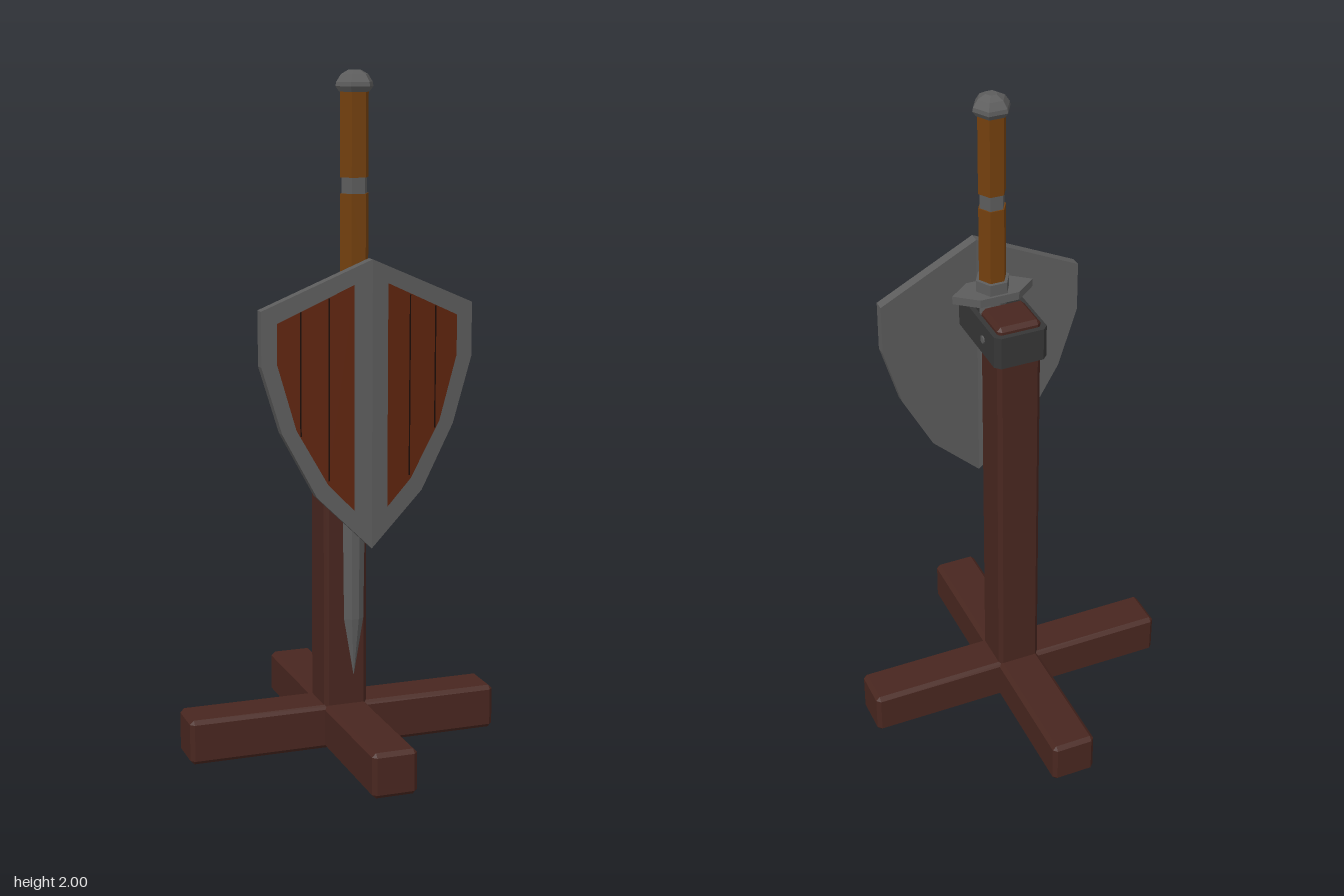
import * as THREE from 'three';
import { ConvexGeometry } from 'three/addons/geometries/ConvexGeometry.js';

const mat = (color) => new THREE.MeshStandardMaterial({ color, flatShading: true });
const darkWood = mat(0x48261f);
const panelWood = mat(0x5e240e);
const gripWood = mat(0x73400e);
const steel = mat(0x5c5c5c);
const iron = mat(0x363636);
const gap = mat(0x1c0c06);

function add(parent, name, geometry, material, x = 0, y = 0, z = 0) {
  const mesh = new THREE.Mesh(geometry, material);
  mesh.name = name;
  mesh.position.set(x, y, z);
  parent.add(mesh);
  return mesh;
}

// Box with every edge chamfered by c
function beam(w, h, d, c) {
  const points = [];
  for (const sx of [-1, 1]) for (const sy of [-1, 1]) for (const sz of [-1, 1]) {
    for (const [a, b, e] of [[0, c, c], [c, 0, c], [c, c, 0]]) {
      points.push(new THREE.Vector3(sx * (w / 2 - a), sy * (h / 2 - b), sz * (d / 2 - e)));
    }
  }
  return new ConvexGeometry(points);
}

const toPoints = (list, side = 1) => list.map(([x, y]) => new THREE.Vector2(x * side, y));

// Six-sided turned part with corners on the x axis
function hexLathe(profile) {
  return new THREE.LatheGeometry(toPoints(profile), 6, Math.PI / 6).rotateY(0);
}

function buildStand() {
  const stand = new THREE.Group();
  stand.name = 'stand';
  add(stand, 'crossBeam', beam(0.96, 0.135, 0.135, 0.012), darkWood, 0, 0.0675, 0);
  add(stand, 'lengthBeam', beam(0.135, 0.134, 0.96, 0.012), darkWood, 0, 0.0675, 0);
  add(stand, 'post', beam(0.133, 1.37, 0.133, 0.012), darkWood, 0, 0.695, 0);

  // Iron strap looped around the post and the sword
  const loop = (w, z0, z1, c) => toPoints([
    [-w + c, z0], [w - c, z0], [w, z0 + c], [w, z1 - c],
    [w - c, z1], [-w + c, z1], [-w, z1 - c], [-w, z0 + c]]);
  const shape = new THREE.Shape(loop(0.081, -0.083, 0.205, 0.016));
  shape.holes.push(new THREE.Path(loop(0.066, -0.066, 0.188, 0.008)));
  const strap = new THREE.ExtrudeGeometry(shape, { depth: 0.1, bevelEnabled: false });
  strap.rotateX(Math.PI / 2);
  add(stand, 'strap', strap, iron, 0, 1.36, 0);
  for (const side of [-1, 1]) {
    const bolt = new THREE.CylinderGeometry(0.012, 0.012, 0.006, 8).rotateZ(Math.PI / 2);
    add(stand, 'bolt', bolt, steel, side * 0.082, 1.31, 0.01);
  }
  return stand;
}

// Blade made of flattened hexagonal sections running down to a point
function bladeGeometry() {
  const sections = [[1.38, 0.042, 0.022], [0.42, 0.03, 0.015], [0.25, 0.001, 0.001]];
  const halves = sections.slice(1).map((low, i) => [sections[i], low]);
  const positions = [];
  const ring = ([y, w, t]) => [[w, 0], [w * 0.35, t], [-w * 0.35, t], [-w, 0], [-w * 0.35, -t], [w * 0.35, -t]]
    .map(([x, z]) => [x, y, z]);
  for (const [high, low] of halves) {
    const a = ring(high), b = ring(low);
    for (let i = 0; i < 6; i++) {
      const j = (i + 1) % 6;
      positions.push(...a[i], ...a[j], ...b[i], ...a[j], ...b[j], ...b[i]);
    }
  }
  const geometry = new THREE.BufferGeometry();
  geometry.setAttribute('position', new THREE.Float32BufferAttribute(positions, 3));
  geometry.computeVertexNormals();
  return geometry;
}

function buildSword() {
  const sword = new THREE.Group();
  sword.name = 'sword';
  sword.position.z = 0.13;
  const blade = add(sword, 'blade', bladeGeometry(), steel.clone());
  blade.material.side = THREE.DoubleSide;

  // Pointed crossguard
  const outline = new THREE.Shape(toPoints([
    [0.125, 0], [0.06, 0.053], [-0.06, 0.053], [-0.125, 0], [-0.06, -0.053], [0.06, -0.053]]));
  const guard = new THREE.ExtrudeGeometry(outline, { depth: 0.025, bevelEnabled: false });
  guard.rotateX(-Math.PI / 2);
  add(sword, 'crossguard', guard, steel, 0, 1.37, 0);

  add(sword, 'collar', hexLathe([[0, 1.39], [0.052, 1.39], [0.052, 1.43], [0, 1.435]]), steel);
  add(sword, 'lowerGrip', hexLathe([[0, 1.43], [0.042, 1.43], [0.042, 1.66], [0, 1.66]]), gripWood);
  add(sword, 'gripRing', hexLathe([[0, 1.65], [0.038, 1.65], [0.038, 1.71], [0, 1.71]]), steel);
  add(sword, 'upperGrip', hexLathe([[0, 1.705], [0.042, 1.705], [0.042, 1.945], [0, 1.945]]), gripWood);
  add(sword, 'pommel', hexLathe([
    [0, 1.94], [0.045, 1.94], [0.056, 1.955], [0.054, 1.967], [0.04, 1.988], [0.018, 2], [0, 2]]), steel);
  return sword;
}

// Half of the shield, swept back from the centre ridge
function buildShieldHalf(side) {
  const half = new THREE.Group();
  half.name = side > 0 ? 'leftShieldHalf' : 'rightShieldHalf';
  half.position.z = 0.248;
  const outer = [[0, 1.49], [0.312, 1.355], [0.312, 1.2], [0.255, 1.01], [0.157, 0.825], [0, 0.67]];
  const inner = [[0.048, 1.422], [0.268, 1.32], [0.268, 1.205], [0.215, 1.02], [0.125, 0.86], [0.048, 0.78]];

  const plate = (points, z, depth, hole) => {
    const shape = new THREE.Shape(toPoints(points, side));
    if (hole) shape.holes.push(new THREE.Path(toPoints(hole, side)));
    return sweep(new THREE.ExtrudeGeometry(shape, { depth, bevelEnabled: false }).translate(0, 0, z));
  };
  const sweep = (geometry) => {
    const p = geometry.attributes.position;
    for (let i = 0; i < p.count; i++) p.setZ(i, p.getZ(i) - Math.abs(p.getX(i)) * 0.105);
    geometry.computeVertexNormals();
    return geometry;
  };

  add(half, 'backPlate', plate(outer, 0, 0.012), steel);
  add(half, 'rim', plate(outer, 0.012, 0.02, inner), steel);
  add(half, 'woodPanel', plate(inner, 0.012, 0.012), panelWood);

  // Dark gaps between the planks
  for (const [x, low, high] of [[0.12, 0.87, 1.385], [0.2, 1.0, 1.35]]) {
    add(half, 'plankGap', plate(
      [[x - 0.002, low], [x + 0.002, low], [x + 0.002, high], [x - 0.002, high]], 0.02, 0.0046), gap);
  }
  return half;
}

export function createModel() {
  const model = new THREE.Group();
  model.name = 'swordAndShieldStand';
  const shield = new THREE.Group();
  shield.name = 'shield';
  shield.add(buildShieldHalf(1), buildShieldHalf(-1));
  model.add(buildStand(), buildSword(), shield);
  return model;
}
